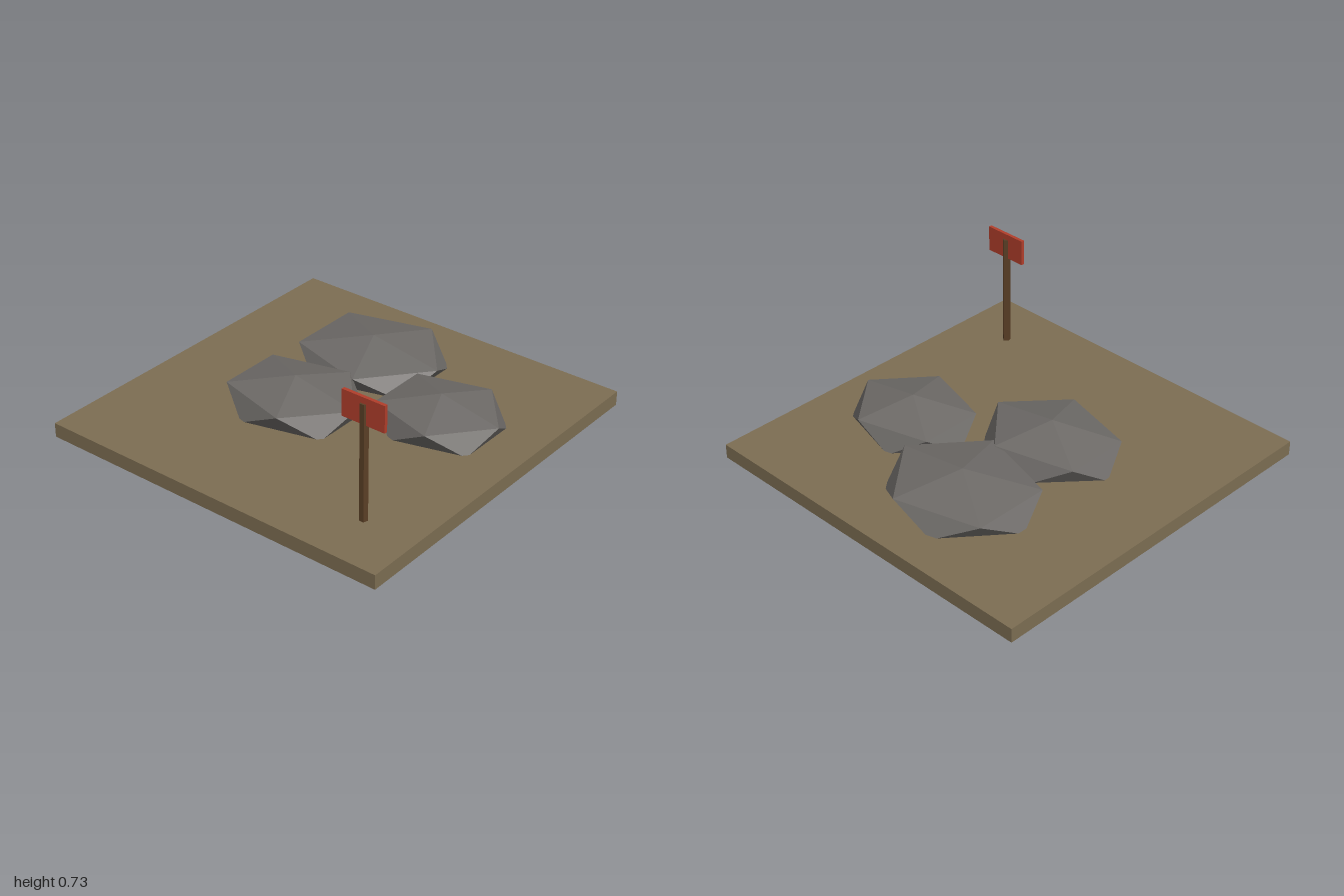
import * as THREE from 'three';

const mat = (name, color) => {
  const m = new THREE.MeshStandardMaterial({ color, flatShading: true });
  m.name = name;
  return m;
};

export function createModel() {
  const group = new THREE.Group();
  const earth = mat('earth brown', 0x7d6e53);
  const stone = mat('stone grey', 0x6d6a67);
  const wood = mat('dark wood', 0x5a3f26);
  const red = mat('sign red', 0xb23e2b);

  const add = (name, geometry, material, x, y, z) => {
    const mesh = new THREE.Mesh(geometry, material);
    mesh.name = name;
    mesh.position.set(x, y, z);
    group.add(mesh);
    return mesh;
  };

  // Square slab of ground
  add('ground', new THREE.BoxGeometry(2, 0.078, 2), earth, 0, 0.041, 0);

  // Flattened rocks: icosahedra turned to stand on a point, one upper corner towards +x
  const rockGeometry = (rx, ry, rz) => new THREE.IcosahedronGeometry(1, 0)
    .rotateX(-Math.atan((1 + Math.sqrt(5)) / 2))
    .rotateY(Math.PI / 2)
    .scale(rx, ry, rz);
  const rocks = [
    ['backRock', -0.15, 0.12, -0.465, 0.457, 0.12, 0.397],
    ['leftRock', 0.477, 0.123, -0.2, 0.383, 0.122, 0.331],
    ['frontRock', -0.186, 0.126, 0.12, 0.42, 0.126, 0.338],
  ];
  for (const [name, x, y, z, rx, ry, rz] of rocks) {
    add(name, rockGeometry(rx, ry, rz), stone, x, y, z);
  }

  // Five-sided post with a flat side to the front
  const post = new THREE.CylinderGeometry(0.022, 0.022, 0.62, 5).rotateY(Math.PI);
  add('signPost', post, wood, 0.7, 0.39, 0.7);

  // Sign board
  add('signBoard', new THREE.BoxGeometry(0.24, 0.14, 0.018), red, 0.7, 0.662, 0.7);

  return group;
}
